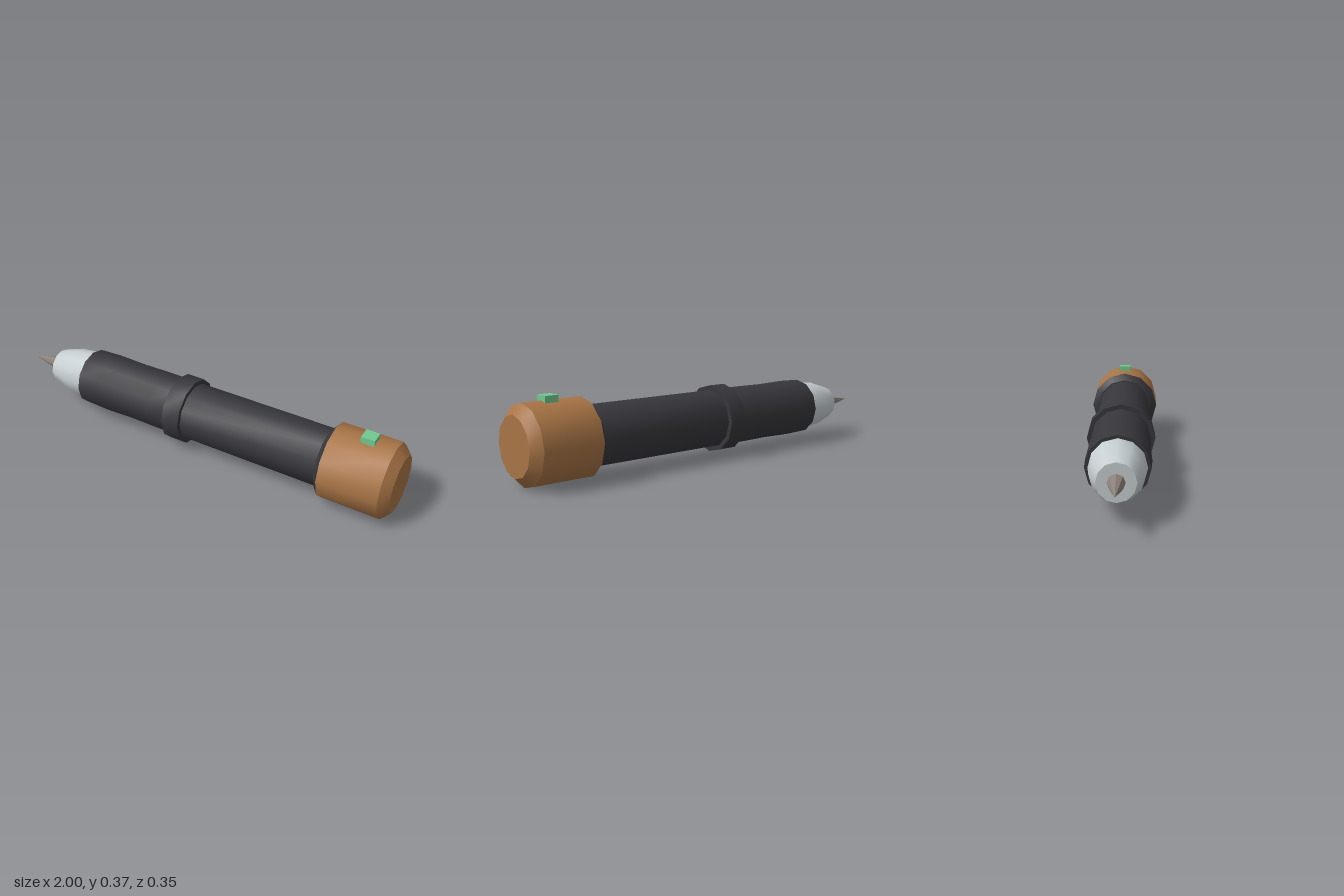
import * as THREE from 'three';
import { toCreasedNormals } from 'three/addons/utils/BufferGeometryUtils.js';

const AXIS_Y = 0.176;

export function createModel() {
  const mat = (name, color) => Object.assign(new THREE.MeshStandardMaterial({ color }), { name });
  const black = mat('black plastic', 0x37373c);
  const silver = mat('silver metal', 0xc6ced1);
  const brown = mat('brown cap', 0xa87445);
  const grey = mat('warm grey nib', 0x8a8179);
  const green = mat('green button', 0x72c890);

  const pen = new THREE.Group();
  pen.name = 'pen';

  const add = (name, geometry, material) => {
    const mesh = new THREE.Mesh(geometry, material);
    mesh.name = name;
    pen.add(mesh);
    return mesh;
  };

  // Turned part: profile of [x, radius] pairs running from tip to cap
  const turned = (name, profile, material, sides = 12, crease = 0.6) => {
    const points = profile.map(([x, r]) => new THREE.Vector2(r, x));
    const geometry = new THREE.LatheGeometry(points, sides).rotateZ(-Math.PI / 2);
    add(name, toCreasedNormals(geometry, crease), material).position.y = AXIS_Y;
  };

  // Writing end
  turned('nib', [[-1, 0], [-0.9, 0.021], [-0.81, 0.038]], grey, 8, 0.3);
  turned('noseCone', [[-0.82, 0], [-0.82, 0.08], [-0.72, 0.111], [-0.6, 0.123]], silver);

  // Gently swelling grip, collar and straight barrel
  turned('grip', [[-0.61, 0], [-0.61, 0.136], [-0.49, 0.14], [-0.34, 0.136],
    [-0.2, 0.138], [-0.09, 0.138]], black);
  turned('collar', [[-0.105, 0.12], [-0.105, 0.158], [-0.018, 0.158], [-0.018, 0.12]], black);
  turned('barrel', [[-0.05, 0.136], [0.67, 0.136]], black);

  // Cap with a dark bevel towards the barrel
  turned('capBevel', [[0.66, 0.13], [0.66, 0.141], [0.686, 0.174]], black);
  turned('cap', [[0.686, 0.174], [0.96, 0.174], [1, 0.13], [1, 0]], brown);

  // Button on top of the cap
  add('button', new THREE.BoxGeometry(0.062, 0.045, 0.062), green).position.set(0.841, 0.3485, 0);

  return pen;
}
